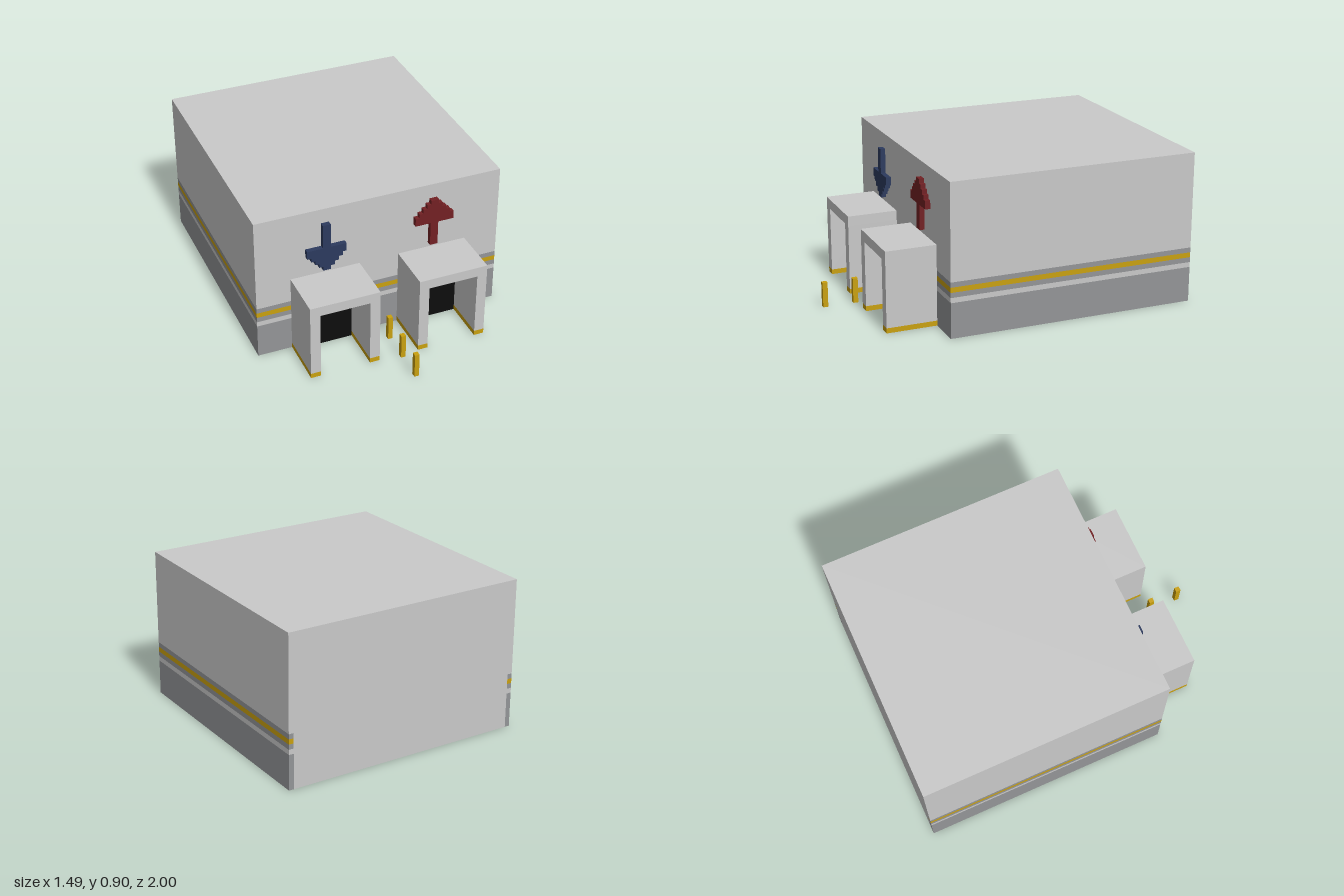
import * as THREE from 'three';

const mat = (name, color) => {
  const m = new THREE.MeshStandardMaterial({ color });
  m.name = name;
  return m;
};

export function createModel() {
  const light = mat('lightConcrete', 0xc9c9c9);
  const grey = mat('midGrey', 0x939597);
  const gold = mat('safetyYellow', 0xc9a00f);
  const black = mat('doorBlack', 0x0d0d0d);
  const blue = mat('arrowBlue', 0x2c3a5e);
  const red = mat('arrowRed', 0x722023);

  const model = new THREE.Group();
  model.name = 'garageBuilding';

  // Box given by its lower and upper corners
  const block = (parent, name, m, x0, x1, y0, y1, z0, z1) => {
    const mesh = new THREE.Mesh(new THREE.BoxGeometry(x1 - x0, y1 - y0, z1 - z0), m);
    mesh.position.set((x0 + x1) / 2, (y0 + y1) / 2, (z0 + z1) / 2);
    mesh.name = name;
    parent.add(mesh);
  };

  const W = 0.745, BACK = -1, FRONT = 0.49, T = 0.03;

  // Main volume: plain upper block over a core that shows at the back and underneath
  block(model, 'upperWalls', light, -W, W, 0.33, 0.9, BACK, FRONT);
  block(model, 'core', light, -W + T, W - T, 0, 0.33, BACK, FRONT - T);

  // Coloured wall courses running round both sides and the front
  const course = (name, m, y0, y1) => {
    const pts = [[-W, BACK], [-W + T, BACK], [-W + T, FRONT - T], [W - T, FRONT - T],
      [W - T, BACK], [W, BACK], [W, FRONT], [-W, FRONT]];
    const shape = new THREE.Shape(pts.map(([x, z]) => new THREE.Vector2(x, -z)));
    const geo = new THREE.ExtrudeGeometry(shape, { depth: y1 - y0, bevelEnabled: false });
    geo.rotateX(-Math.PI / 2).translate(0, y0, 0);
    const mesh = new THREE.Mesh(geo, m);
    mesh.name = name;
    model.add(mesh);
  };
  course('baseCourse', grey, 0, 0.21);
  course('lightStripe', light, 0.21, 0.24);
  course('lowerGreyStripe', grey, 0.24, 0.27);
  course('yellowStripe', gold, 0.27, 0.3);
  course('upperGreyStripe', grey, 0.3, 0.33);

  // Projecting gateways with yellow kerbs and a dark door
  for (const [name, cx] of [['rightGate', -0.33], ['leftGate', 0.327]]) {
    const gate = new THREE.Group();
    gate.name = name;
    gate.position.x = cx;
    for (const s of [-1, 1]) {
      const a = s < 0 ? -0.209 : 0.149, b = a + 0.06;
      block(gate, 'gateWall', light, a, b, 0.03, 0.42, FRONT, 0.79);
      block(gate, 'kerb', gold, a, b, 0, 0.03, FRONT, 0.79);
    }
    block(gate, 'gateRoof', light, -0.209, 0.209, 0.42, 0.48, FRONT, 0.79);
    block(gate, 'door', black, -0.149, 0.149, 0, 0.42, FRONT, 0.52);
    model.add(gate);
  }

  // Stepped arrows, drawn pointing up from a right-hand outline
  const arrow = (name, m, cx, down) => {
    const u = 0.0236, v = 0.025;
    const half = [[u, -6 * v], [u, 0], [5 * u, 0], [5 * u, 2 * v]];
    for (let i = 4; i >= 1; i--) half.push([i * u, (6 - i) * v], [i * u, (7 - i) * v]);
    // Insert the step from the widest row inward, then mirror the outline
    const pts = [...half, ...half.slice().reverse().map(([x, y]) => [-x, y])];
    const shape = new THREE.Shape(pts.map(([x, y]) => new THREE.Vector2(x, y)));
    const geo = new THREE.ExtrudeGeometry(shape, { depth: 0.03, bevelEnabled: false });
    const mesh = new THREE.Mesh(geo, m);
    if (down) mesh.rotation.z = Math.PI;
    mesh.position.set(cx, 0.66, FRONT);
    mesh.name = name;
    model.add(mesh);
  };
  arrow('downArrow', blue, -0.33, true);
  arrow('upArrow', red, 0.327, false);

  // Bollards between the lanes
  for (const z of [0.62, 0.803, 0.985]) {
    block(model, 'bollard', gold, 0, 0.028, 0, 0.15, z - 0.015, z + 0.015);
  }

  return model;
}
